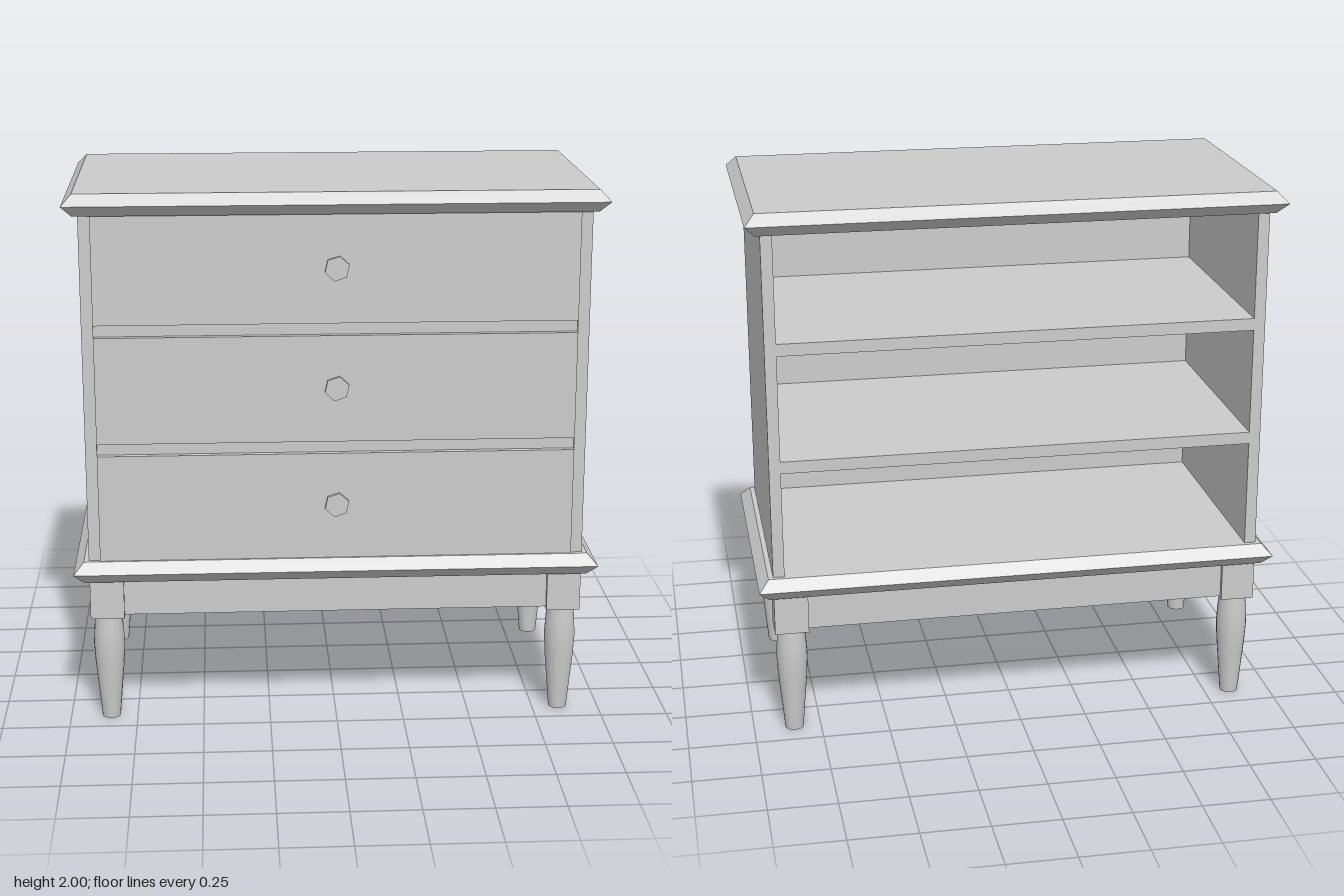
import * as THREE from 'three';

const grey = new THREE.MeshStandardMaterial({ color: 0xcccccc });
const flatGrey = new THREE.MeshStandardMaterial({ color: 0xcccccc, flatShading: true });

// Box given by its min and max on each axis
function box(name, [x0, x1], [y0, y1], [z0, z1]) {
  const mesh = new THREE.Mesh(new THREE.BoxGeometry(x1 - x0, y1 - y0, z1 - z0), grey);
  mesh.position.set((x0 + x1) / 2, (y0 + y1) / 2, (z0 + z1) / 2);
  mesh.name = name;
  return mesh;
}

// Slab whose edges come to a point at mid height
function bevelledSlab(name, y) {
  const w = 0.967, d = 0.507, h = 0.08, bevel = 0.037;
  const geo = new THREE.BoxGeometry(2 * w, h, 2 * d, 1, 2, 1);
  const p = geo.attributes.position;
  for (let i = 0; i < p.count; i++) {
    if (Math.abs(p.getY(i)) < 0.001) continue;
    p.setX(i, Math.sign(p.getX(i)) * (w - bevel));
    p.setZ(i, Math.sign(p.getZ(i)) * (d - bevel));
  }
  geo.computeVertexNormals();
  const mesh = new THREE.Mesh(geo, flatGrey);
  mesh.position.y = y;
  mesh.name = name;
  return mesh;
}

// Turned leg: swells below the top, then tapers, with a flat foot
function leg(x, z) {
  const group = new THREE.Group();
  const profile = [[0.05, 0.41], [0.055, 0.35], [0.058, 0.295], [0.054, 0.22], [0.034, 0]]
    .reverse().map(([r, y]) => new THREE.Vector2(r, y));
  const shaft = new THREE.Mesh(new THREE.LatheGeometry(profile, 20), grey);
  shaft.name = 'legShaft';
  const foot = new THREE.Mesh(new THREE.CircleGeometry(0.034, 20), grey);
  foot.rotation.x = Math.PI / 2;
  foot.name = 'legFoot';
  group.add(shaft, foot);
  group.position.set(x, 0, z);
  group.name = 'leg';
  return group;
}

export function createModel() {
  const model = new THREE.Group();
  model.name = 'chestOfDrawers';
  const W = 0.912, IN = 0.87, D = 0.453;

  model.add(bevelledSlab('topSlab', 1.96), bevelledSlab('baseSlab', 0.6));

  // Side panels; the back stays open
  model.add(box('rightPanel', [-W, -IN], [0.64, 1.92], [-D, D]));
  model.add(box('leftPanel', [IN, W], [0.64, 1.92], [-D, D]));

  // Shelves between the drawers
  for (const y of [1.04, 1.48]) model.add(box('shelf', [-IN, IN], [y, y + 0.045], [-D, 0.44]));

  // Drawer fronts with six-sided knobs
  for (const [y0, y1, knobY] of [[0.64, 1.04, 0.845], [1.085, 1.48, 1.285], [1.525, 1.92, 1.725]]) {
    model.add(box('drawerFront', [-IN, IN], [y0, y1], [0.435, 0.463]));
    const knob = new THREE.Mesh(new THREE.CylinderGeometry(0.046, 0.046, 0.02, 6), flatGrey);
    knob.geometry.rotateX(Math.PI / 2).rotateZ(-0.22);
    knob.position.set(0, knobY, 0.466);
    knob.name = 'knob';
    model.add(knob);
  }

  // Apron rails, set back a little from the corner blocks
  for (const s of [-1, 1]) {
    const span = (a, b) => [Math.min(s * a, s * b), Math.max(s * a, s * b)];
    model.add(box(s > 0 ? 'frontApron' : 'backApron', [-0.8, 0.8], [0.42, 0.56], span(0.395, 0.437)));
    model.add(box(s > 0 ? 'leftApron' : 'rightApron', span(0.854, 0.896), [0.42, 0.56], [-0.35, 0.35]));
  }

  // Corner blocks and legs
  for (const sx of [-1, 1]) for (const sz of [-1, 1]) {
    const block = box('cornerBlock', [-0.0625, 0.0625], [0.41, 0.56], [-0.06, 0.06]);
    block.position.x = sx * 0.8495;
    block.position.z = sz * 0.393;
    model.add(block, leg(sx * 0.849, sz * 0.392));
  }
  return model;
}
